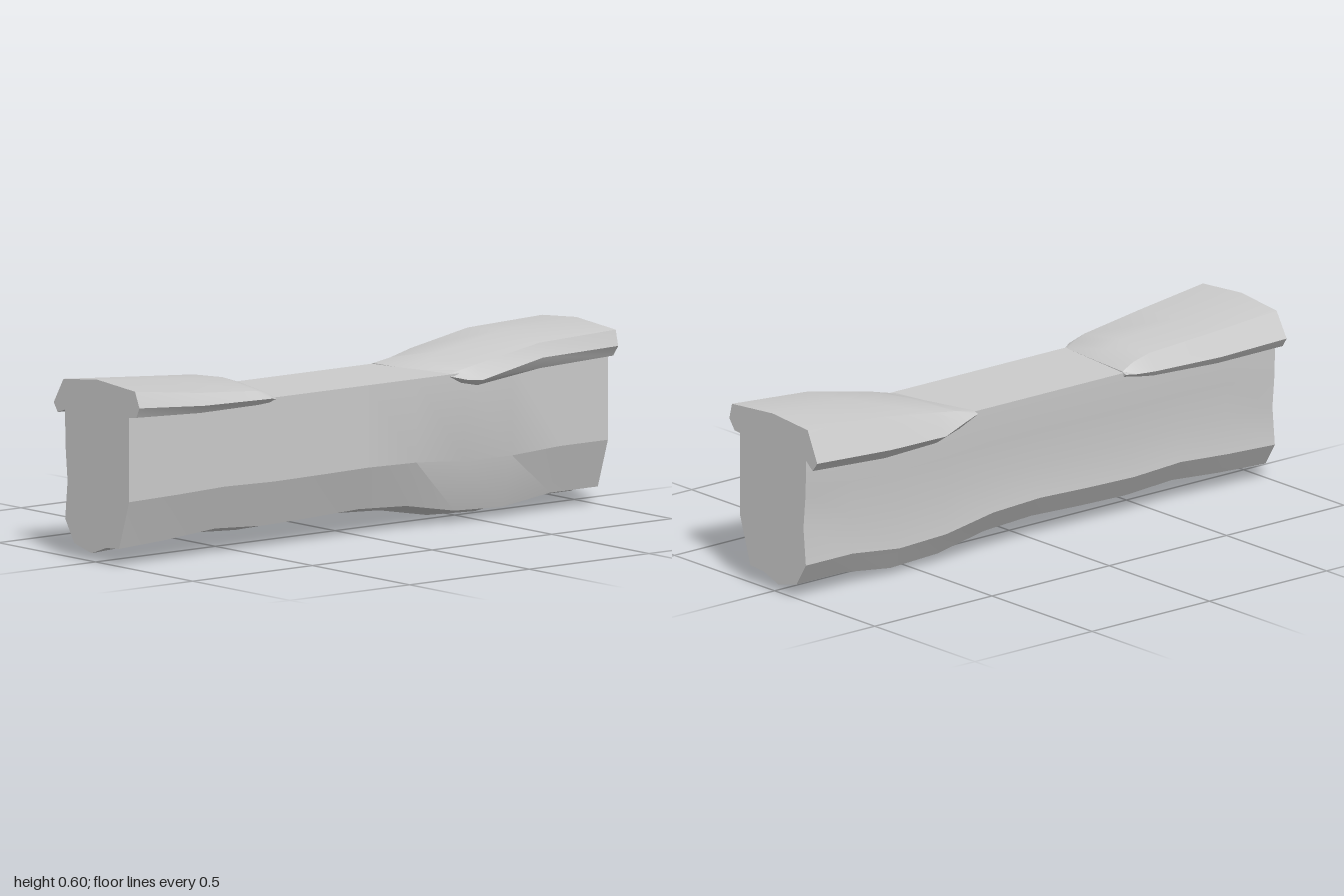
import * as THREE from 'three';
import { toCreasedNormals } from 'three/addons/utils/BufferGeometryUtils.js';

const material = new THREE.MeshStandardMaterial({ color: 0xcccccc });

// Closed loft along x. Rings are lists of Vector3 in order of rising x,
// running front-top to back-top, down, and forward again.
function loft(name, rings, crease) {
  const pos = [];
  const tri = (a, b, c) => { for (const p of [a, b, c]) pos.push(p.x, p.y, p.z); };
  const n = rings[0].length;
  for (let j = 0; j < rings.length - 1; j++) {
    for (let i = 0; i < n; i++) {
      const k = (i + 1) % n, A = rings[j], B = rings[j + 1];
      tri(A[i], B[i], A[k]);
      tri(B[i], B[k], A[k]);
    }
  }
  // end faces
  for (const [ring, side] of [[rings[0], -1], [rings[rings.length - 1], 1]]) {
    const flat = ring.map(p => new THREE.Vector2(-p.z, p.y));
    for (const [a, b, c] of THREE.ShapeUtils.triangulateShape(flat, [])) {
      const area = THREE.ShapeUtils.area([flat[a], flat[b], flat[c]]);
      if (area * side > 0) tri(ring[a], ring[b], ring[c]);
      else tri(ring[a], ring[c], ring[b]);
    }
  }
  const geometry = new THREE.BufferGeometry();
  geometry.setAttribute('position', new THREE.Float32BufferAttribute(pos, 3));
  const mesh = new THREE.Mesh(toCreasedNormals(geometry, crease), material);
  mesh.name = name;
  return mesh;
}

// Beam profile: z, y and how strongly the point follows the wavy underside
const beamProfile = [
  [0.173, 0.502, 0], [-0.157, 0.502, 0], [-0.155, 0.37, 0.2], [-0.144, 0.25, 0.4],
  [-0.156, 0.125, 0.9], [-0.11, 0.05, 1], [-0.02, 0.028, 1], [0.055, 0.055, 1],
  [0.121, 0.06, 1], [0.173, 0.22, 0.4],
];
const wave = [0, 0.01, 0.026, 0.015, 0.02, 0.028, 0.018, -0.018, -0.026, 0, 0];

// Overhanging caps: x, slant of the station, then [z, y] of
// front shoulder, ridge, back shoulder, back edge, back lip, back inside,
// front inside, front lip, front edge
const leftCap = [
  [0.31, 0.18, [[0.16, 0.5], [0, 0.5], [-0.15, 0.505], [-0.172, 0.497], [-0.165, 0.49],
    [-0.14, 0.49], [0.15, 0.49], [0.165, 0.49], [0.175, 0.495]]],
  [0.37, 0.1, [[0.165, 0.51], [0, 0.522], [-0.15, 0.517], [-0.19, 0.485], [-0.165, 0.46],
    [-0.14, 0.47], [0.15, 0.468], [0.175, 0.47], [0.2, 0.483]]],
  [0.45, 0, [[0.175, 0.525], [0, 0.548], [-0.165, 0.535], [-0.213, 0.465], [-0.165, 0.432],
    [-0.14, 0.45], [0.16, 0.455], [0.18, 0.457], [0.204, 0.476]]],
  [0.7, 0, [[0.19, 0.572], [0, 0.592], [-0.18, 0.575], [-0.232, 0.475], [-0.2, 0.44],
    [-0.14, 0.465], [0.16, 0.485], [0.19, 0.488], [0.208, 0.525]]],
  [1, 0, [[0.213, 0.587], [0.01, 0.603], [-0.165, 0.588], [-0.213, 0.485], [-0.19, 0.455],
    [-0.15, 0.488], [0.17, 0.497], [0.2, 0.5], [0.226, 0.535]]],
];
const rightCap = [
  [-1, 0, [[0.203, 0.587], [0.01, 0.602], [-0.165, 0.583], [-0.215, 0.5], [-0.195, 0.47],
    [-0.15, 0.485], [0.17, 0.497], [0.21, 0.502], [0.226, 0.535]]],
  [-0.73, 0, [[0.2, 0.555], [0, 0.574], [-0.16, 0.563], [-0.204, 0.49], [-0.185, 0.465],
    [-0.15, 0.475], [0.17, 0.487], [0.207, 0.49], [0.227, 0.516]]],
  [-0.47, 0, [[0.175, 0.532], [0, 0.555], [-0.15, 0.545], [-0.182, 0.49], [-0.17, 0.473],
    [-0.14, 0.478], [0.16, 0.485], [0.185, 0.487], [0.202, 0.506]]],
  [-0.41, -0.06, [[0.165, 0.52], [0, 0.535], [-0.15, 0.528], [-0.175, 0.493], [-0.165, 0.482],
    [-0.14, 0.485], [0.16, 0.488], [0.18, 0.489], [0.196, 0.504]]],
  [-0.37, -0.1, [[0.16, 0.502], [0, 0.503], [-0.15, 0.505], [-0.17, 0.499], [-0.16, 0.49],
    [-0.14, 0.49], [0.15, 0.49], [0.165, 0.491], [0.177, 0.497]]],
];
const capRings = stations => stations.map(([x, slant, ring]) =>
  ring.map(([z, y]) => new THREE.Vector3(x + slant * z, y, z)));

export function createModel() {
  const model = new THREE.Group();
  model.name = 'cappedBeam';

  const beamRings = wave.map((dy, i) => beamProfile.map(([z, y, follow]) =>
    new THREE.Vector3(-1 + i * 0.2, y + dy * follow, z)));
  model.add(loft('beam', beamRings, 0.3));

  model.add(loft('leftCap', capRings(leftCap), 0.6));
  model.add(loft('rightCap', capRings(rightCap), 0.6));
  return model;
}
